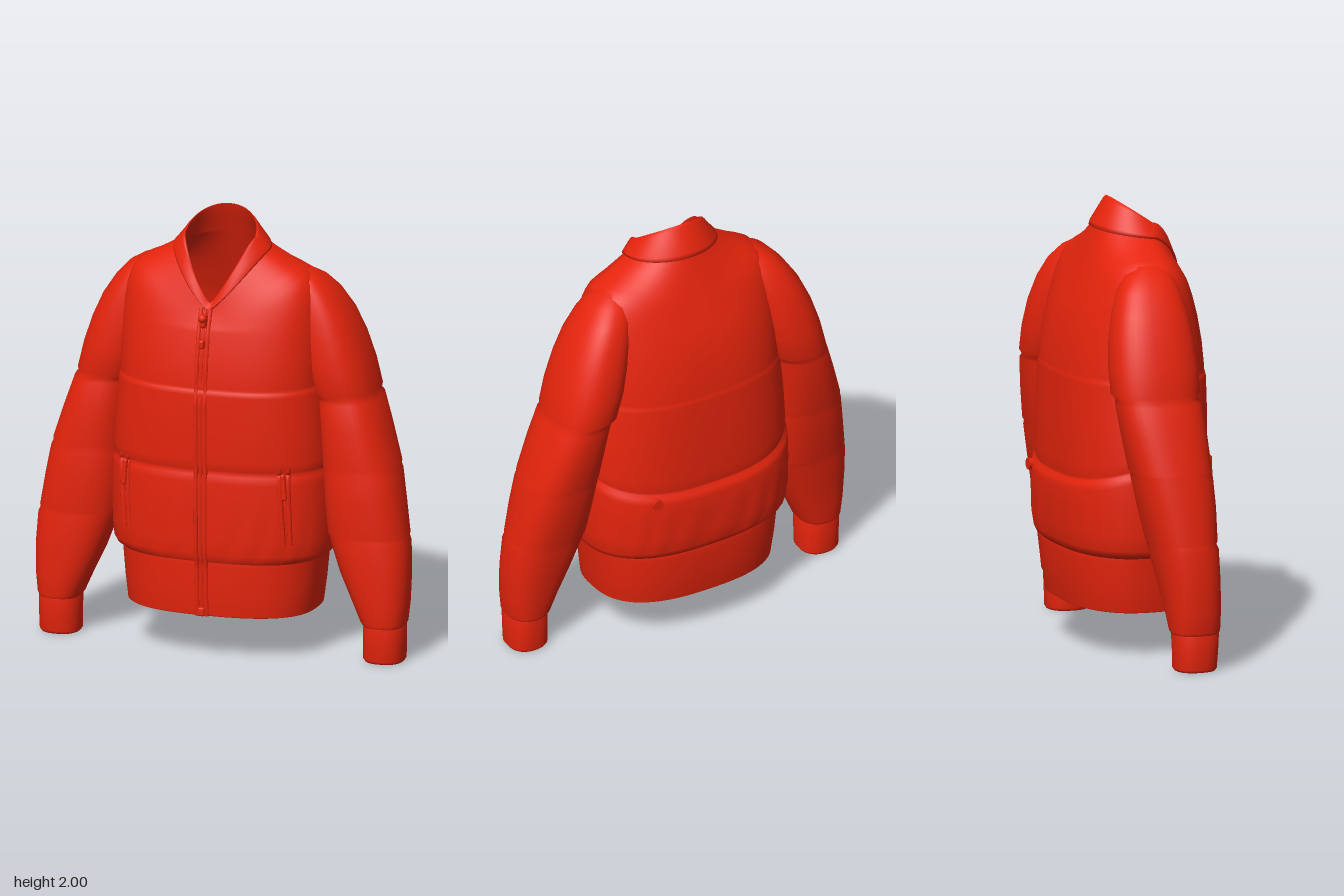
import * as THREE from 'three';
import { RoundedBoxGeometry } from 'three/addons/geometries/RoundedBoxGeometry.js';

const material = new THREE.MeshStandardMaterial({ color: 0xe5240c, side: THREE.DoubleSide });
const SEG = 72;
const lerp = THREE.MathUtils.lerp;

// Surface through a stack of closed rings of points
function loft(rings) {
  const n = rings[0].length, index = [];
  for (let j = 0; j < rings.length - 1; j++) {
    for (let i = 0; i < n; i++) {
      const k = (i + 1) % n, a = j * n + i, b = j * n + k, c = a + n, d = b + n;
      index.push(a, b, d, a, d, c);
    }
  }
  const geometry = new THREE.BufferGeometry().setFromPoints(rings.flat());
  geometry.setIndex(index);
  geometry.computeVertexNormals();
  return geometry;
}

// One closed ring: f(sin, cos, angle), angle 0 at the front
const ring = (f, n = SEG) => Array.from({ length: n }, (_, i) => {
  const a = (i / n) * Math.PI * 2;
  return new THREE.Vector3(...f(Math.sin(a), Math.cos(a), a));
});
const power = (v, e) => Math.sign(v) * Math.abs(v) ** e;

// Torso sections: y, half width, back z, front z
const BODY = [
  [0.45, 0.458, -0.30, 0.314], [0.465, 0.485, -0.315, 0.322], [0.49, 0.498, -0.325, 0.328],
  [0.56, 0.505, -0.333, 0.332], [0.70, 0.508, -0.337, 0.334], [0.82, 0.506, -0.335, 0.332],
  [0.855, 0.502, -0.33, 0.328], [0.868, 0.492, -0.312, 0.318], [0.88, 0.497, -0.316, 0.327],
  [0.92, 0.499, -0.32, 0.331], [1.05, 0.49, -0.318, 0.334], [1.22, 0.474, -0.311, 0.332],
  [1.24, 0.47, -0.308, 0.327], [1.248, 0.465, -0.304, 0.318], [1.258, 0.467, -0.306, 0.325],
  [1.38, 0.465, -0.29, 0.311], [1.5, 0.46, -0.262, 0.287],
];
const HEM = [
  [0.225, 0.415, -0.265, 0.29], [0.2, 0.425, -0.275, 0.3], [0.205, 0.432, -0.283, 0.306],
  [0.32, 0.446, -0.297, 0.312], [0.435, 0.456, -0.306, 0.316], [0.46, 0.458, -0.3, 0.314],
];
const POWER = 2.6;

function bodyRing([y, hx, zb, zf]) {
  // the lower seam dips across the back
  const dip = 0.09 * Math.exp(-(((y - 0.86) / 0.15) ** 2));
  return ring((s, c, a) => {
    // soft gathers just above the hem
    const gather = y > 0.47 ? 0.007 * Math.sin(a * 24) * Math.max(0, 1 - Math.abs(y - 0.56) / 0.12) : 0;
    return [hx * power(s, 2 / POWER), y - dip * Math.max(0, -c),
      (zb + zf) / 2 + ((zf - zb) / 2 + gather) * power(c, 2 / POWER)];
  });
}

// Depth of the jacket front at a given x, y
function frontZ(x, y) {
  const list = [...HEM.slice(2, 5), ...BODY, [1.6, 0.45, -0.22, 0.25]];
  let i = 0;
  while (i < list.length - 2 && list[i + 1][0] < y) i++;
  const t = THREE.MathUtils.clamp((y - list[i][0]) / (list[i + 1][0] - list[i][0]), 0, 1);
  const [hx, zb, zf] = [1, 2, 3].map((k) => lerp(list[i][k], list[i + 1][k], t));
  return (zb + zf) / 2 + (zf - zb) / 2 * (1 - Math.abs(x / hx) ** POWER) ** (1 / POWER);
}

// Neckline with a V at the front, and the upper edge of the collar
const neckline = (s, c) => [0.215 * s, c > 0 ? 1.59 + 0.25 * Math.abs(s) ** 1.2 : 1.84 - 0.025 * c, 0.065 + 0.185 * power(c, c > 0 ? 1.25 : 1)];
const collarEdge = (s, c) => [0.165 * s, c > 0 ? 1.62 + 0.28 * Math.abs(s) ** 1.2 : 1.9 - 0.1 * c, 0.09 + 0.145 * power(c, c > 0 ? 1.15 : 1)];

function torsoGeometry() {
  const rings = BODY.map(bodyRing);
  const base = rings[rings.length - 1], neck = ring(neckline);
  // shoulder yoke: inward and upward blend from chest to neckline
  for (const [a, b] of [[0.03, 0.3], [0.08, 0.48], [0.15, 0.6], [0.25, 0.71], [0.42, 0.78], [0.6, 0.84], [0.8, 0.92], [1, 1]]) {
    rings.push(base.map((p, i) => {
      const q = neck[i], side = Math.sin((i / SEG) * Math.PI * 2) ** 2;
      const mid = (a + b) / 2, u = lerp(mid, a, side), v = lerp(mid, b, side);
      return new THREE.Vector3(lerp(p.x, q.x, u), lerp(p.y, q.y, v), lerp(p.z, q.z, u));
    }));
  }
  return loft(rings);
}

function collarGeometry() {
  // t from neckline to edge, g grows the ring outward
  const row = (t, g, dy = 0) => ring((s, c) => {
    const p = neckline(s, c), q = collarEdge(s, c);
    return [lerp(p[0], q[0], t) + g * s, lerp(p[1], q[1], t) + dy, lerp(p[2], q[2], t) + g * c];
  });
  return loft([row(0, -0.01, -0.01), row(0, 0.008), row(0.15, 0.012), row(0.5, 0.008), row(0.9, 0.003), row(1, -0.002),
    row(0.97, -0.01), row(0.5, -0.014), row(0, -0.016, -0.01)]);
}

// Sleeve sections: y, inner x, outer x, back z, front z
const SLEEVE = [
  [0.165, 0.662, 0.845, -0.05, 0.158], [0.18, 0.65, 0.853, -0.058, 0.164], [0.27, 0.61, 0.863, -0.07, 0.17],
  [0.4, 0.55, 0.866, -0.092, 0.174], [0.54, 0.5, 0.858, -0.12, 0.174], [0.56, 0.495, 0.849, -0.12, 0.166],
  [0.575, 0.488, 0.851, -0.128, 0.172], [0.72, 0.468, 0.828, -0.158, 0.175], [0.85, 0.455, 0.805, -0.184, 0.17],
  [0.87, 0.455, 0.796, -0.182, 0.162], [0.885, 0.45, 0.797, -0.192, 0.168], [1.05, 0.435, 0.745, -0.22, 0.16],
  [1.175, 0.42, 0.703, -0.236, 0.147], [1.192, 0.42, 0.685, -0.23, 0.132], [1.215, 0.39, 0.69, -0.246, 0.15],
  [1.33, 0.355, 0.662, -0.246, 0.154], [1.45, 0.33, 0.622, -0.232, 0.146], [1.56, 0.31, 0.572, -0.205, 0.132],
  [1.65, 0.295, 0.512, -0.168, 0.112], [1.71, 0.285, 0.455, -0.12, 0.09], [1.75, 0.29, 0.39, -0.06, 0.05],
  [1.755, 0.34, 0.345, 0, 0.005],
];
const CUFF = [
  [0.02, 0.75, 0.752, 0.048, 0.05], [0.02, 0.675, 0.83, -0.028, 0.132], [0, 0.668, 0.838, -0.036, 0.14],
  [0.012, 0.66, 0.846, -0.044, 0.148], [0.09, 0.66, 0.848, -0.046, 0.154], [0.16, 0.66, 0.848, -0.05, 0.158],
  [0.18, 0.668, 0.838, -0.044, 0.15],
];
const sleeveGeometry = (sections, side) => loft(sections.map(([y, x0, x1, z0, z1]) => ring((s, c) => [
  side * (x0 + x1) / 2 + (x1 - x0) / 2 * power(s, 0.84), y, (z0 + z1) / 2 + (z1 - z0) / 2 * power(c, 0.84),
], 40)));

// Cord following the jacket front
function frontCord(x0, x1, y0, y1, lift, radius) {
  const points = Array.from({ length: 25 }, (_, i) => {
    const x = lerp(x0, x1, i / 24), y = lerp(y0, y1, i / 24);
    return new THREE.Vector3(x, y, frontZ(x, y) + lift);
  });
  return new THREE.TubeGeometry(new THREE.CatmullRomCurve3(points), 48, radius, 8);
}

export function createModel() {
  const jacket = new THREE.Group();
  jacket.name = 'jacket';
  const add = (name, geometry, parent = jacket, x = 0, y = 0, z = 0) => {
    const mesh = new THREE.Mesh(geometry, material);
    mesh.name = name;
    mesh.position.set(x, y, z);
    parent.add(mesh);
    return mesh;
  };

  add('torso', torsoGeometry());
  add('hemBand', loft(HEM.map(bodyRing)));
  add('collar', collarGeometry());

  for (const side of [1, -1]) {
    const label = side > 0 ? 'left' : 'right';
    add(label + 'Sleeve', sleeveGeometry(SLEEVE, side));
    add(label + 'Cuff', sleeveGeometry(CUFF, side));

    // Side pocket: two welts with a hanging pull
    const pocket = new THREE.Group();
    pocket.name = label + 'Pocket';
    jacket.add(pocket);
    const px = side > 0 ? 0.36 : -0.385;
    for (const d of [-0.013, 0.013]) {
      add('pocketWelt', frontCord(px + d + 0.008, px + d * 1.4 - 0.008, 0.55, 0.9, 0, 0.012), pocket);
    }
    const pull = add('pocketPull', new RoundedBoxGeometry(0.022, 0.12, 0.02, 2, 0.008), pocket, px, 0.82, frontZ(px, 0.82) + 0.018);
    pull.rotation.z = side * 0.08;
  }

  // Front zip: placket edges, teeth and two pulls
  const zip = new THREE.Group();
  zip.name = 'frontZip';
  zip.position.x = -0.014;
  jacket.add(zip);
  for (const x of [-0.021, 0.021]) add('placketEdge', frontCord(x, x, 0.2, 1.6, -0.003, 0.011), zip);
  add('zipTeeth', frontCord(0, 0, 0.2, 1.6, -0.004, 0.009), zip);
  add('zipSlider', new RoundedBoxGeometry(0.03, 0.06, 0.05, 2, 0.012), zip, 0, 1.55, 0.28);
  add('zipPull', new THREE.SphereGeometry(0.02, 12, 8), zip, 0, 1.565, 0.298);
  add('lowerPull', new RoundedBoxGeometry(0.025, 0.04, 0.03, 2, 0.01), zip, 0, 1.45, 0.308);
  add('zipEnd', new RoundedBoxGeometry(0.03, 0.04, 0.025, 2, 0.008), zip, 0, 0.22, 0.31);

  // Small button on the lower back panel
  const button = add('backButton', new THREE.CylinderGeometry(0.022, 0.026, 0.03, 16), jacket, 0.29, 0.76, -0.305);
  button.rotation.x = Math.PI / 2;
  return jacket;
}
